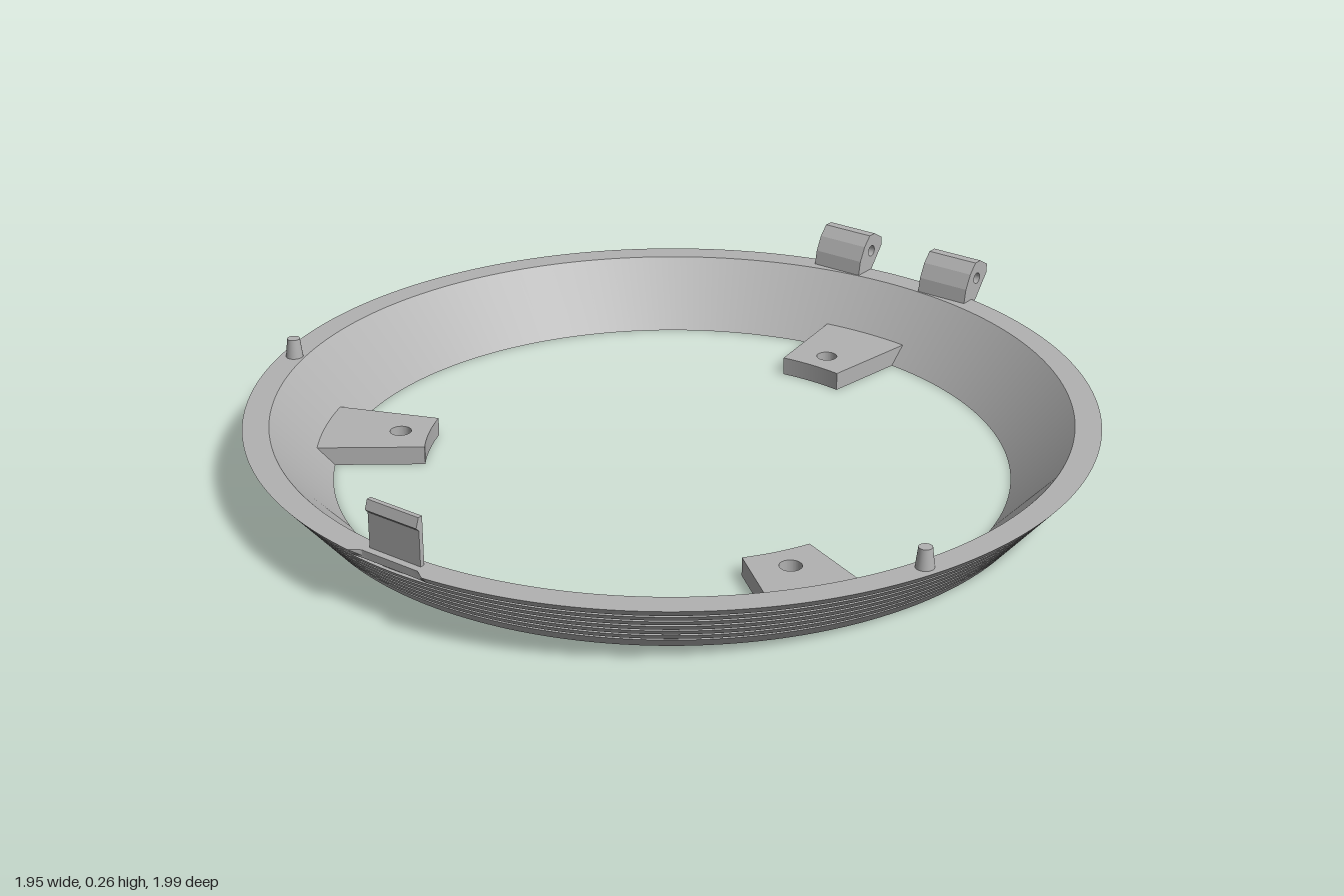
import * as THREE from 'three';
import { toCreasedNormals } from 'three/addons/utils/BufferGeometryUtils.js';

const CZ = 0.02; // ring centre along z
const H = 0.15; // ring height
const R_OUT = 0.977, R_BASE = 0.85, R_IN_TOP = 0.917, R_IN_BASE = 0.78;

export function createModel() {
  const grey = new THREE.MeshStandardMaterial({ color: 0xb2b2b2 });
  grey.name = 'grey plastic';
  const model = new THREE.Group();
  model.name = 'ringFrame';

  const add = (name, geometry, x = 0, y = 0, z = 0) => {
    const mesh = new THREE.Mesh(geometry, grey);
    mesh.name = name;
    mesh.position.set(x, y, z);
    model.add(mesh);
    return mesh;
  };
  const hole = (x, y, r) => new THREE.Path().absarc(x, y, r, 0, Math.PI * 2, true);

  // Flared ring with fine grooves round the outside
  const outer = (y) => R_BASE + (R_OUT - R_BASE) * (y / H);
  const profile = [[R_IN_BASE, 0], [R_BASE, 0]];
  for (let i = 0; i < 6; i++) {
    const y = 0.026 + i * 0.02, top = y + 0.006, r = outer(y) - 0.009;
    profile.push([outer(y), y], [r, y], [r, top], [outer(top), top]);
  }
  profile.push([outer(0.137), 0.137], [R_OUT, H], [R_IN_TOP, H], [R_IN_BASE, 0]);
  const ring = new THREE.LatheGeometry(profile.map(([r, y]) => new THREE.Vector2(r, y)), 240);
  // Shallow flat cut in the front edge of the rim
  const pos = ring.attributes.position;
  const cut = 0.975 - CZ;
  for (let i = 0; i < pos.count; i++) {
    if (Math.abs(pos.getX(i)) < 0.1 && pos.getY(i) > 0.13 && pos.getZ(i) > cut) pos.setZ(i, cut);
  }
  add('ring', toCreasedNormals(ring, 0.45), 0, 0, CZ);

  // Three screw tabs: ring sectors, each with a hole
  const half = THREE.MathUtils.degToRad(8);
  ['backTab', 'rightTab', 'leftTab'].forEach((name, i) => {
    const a = Math.PI / 2 + (i * Math.PI * 2) / 3;
    const shape = new THREE.Shape();
    shape.absarc(0, 0, 0.82, a - half, a + half, false);
    shape.absarc(0, 0, 0.572, a + half, a - half, true);
    shape.closePath();
    shape.holes.push(hole(0.64 * Math.cos(a), 0.64 * Math.sin(a), 0.025));
    const tab = new THREE.ExtrudeGeometry(shape, { depth: 0.044, bevelEnabled: false, curveSegments: 24 });
    tab.rotateX(-Math.PI / 2);
    add(name, tab, 0, 0, CZ);
  });

  // Hinge knuckles at the back, drawn in (z, y) and swept along x
  const knuckle = new THREE.Shape([
    [-0.895, 0.148], [-0.902, 0.185], [-0.92, 0.22], [-0.943, 0.244],
    [-0.966, 0.244], [-1.0, 0.224], [-1.0, 0.202], [-0.935, 0.125],
  ].map(([z, y]) => new THREE.Vector2(z, y)));
  knuckle.holes.push(hole(-0.953, 0.2, 0.014));
  for (const side of [-1, 1]) {
    const label = side > 0 ? 'left' : 'right';
    const hinge = new THREE.ExtrudeGeometry(knuckle, { depth: 0.135, bevelEnabled: false, curveSegments: 20 });
    hinge.rotateY(-Math.PI / 2);
    hinge.translate(0.0675, 0, 0);
    add(label + 'Hinge', hinge, side * 0.1575);

    // Tapered locating pin on the rim
    add(label + 'Pin', new THREE.CylinderGeometry(0.015, 0.021, 0.05, 32), side * 0.885, 0.171, 0.345);
  }

  // Front clip: thin upright plate with a hooked lip
  add('clipPlate', new THREE.BoxGeometry(0.14, 0.12, 0.011), 0, 0.2, 0.9525);
  const lip = new THREE.Shape([
    [0.947, 0.232], [0.958, 0.232], [0.966, 0.24], [0.958, 0.262], [0.947, 0.262],
  ].map(([z, y]) => new THREE.Vector2(z, y)));
  const lipGeometry = new THREE.ExtrudeGeometry(lip, { depth: 0.14, bevelEnabled: false });
  lipGeometry.rotateY(-Math.PI / 2);
  add('clipLip', lipGeometry, 0.07);

  return model;
}
